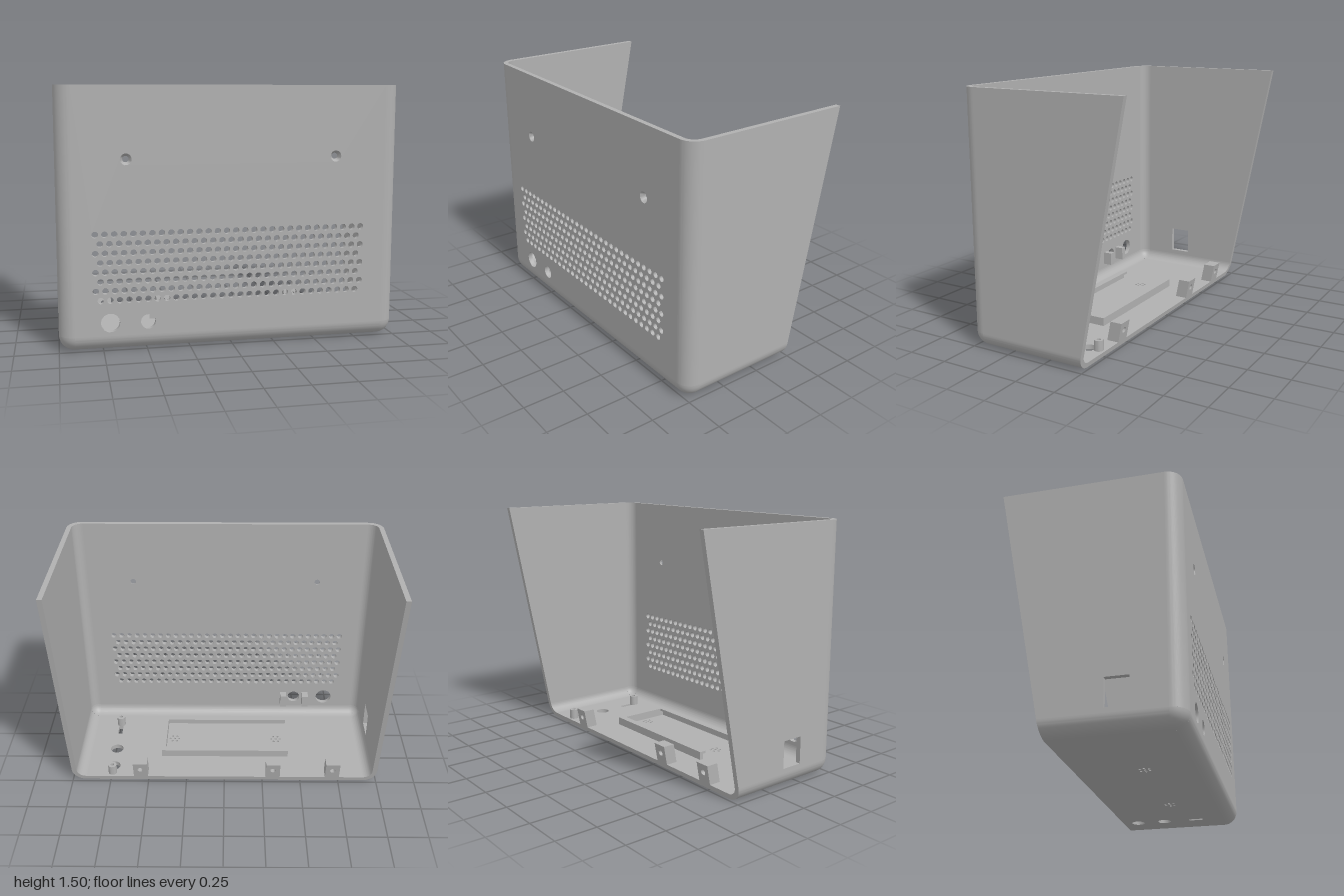
import * as THREE from 'three';
import { toCreasedNormals } from 'three/addons/utils/BufferGeometryUtils.js';

const H = 1.505, T = 0.03, R = 0.09, FRONT = 0.52;
const EX = 1 - R, EZ = FRONT - R;            // centres of the rounded edges
const SLOPE = -0.193;
const backZ = (y) => -0.23 + SLOPE * y;      // sloping open back

const plastic = new THREE.MeshStandardMaterial({ color: 0xb0b0b0 });
plastic.name = 'grey plastic';

function polygon(points) {
  return new THREE.Shape(points.map(([x, y]) => new THREE.Vector2(x, y)));
}
const rect = (x0, y0, x1, y1) => polygon([[x0, y0], [x1, y0], [x1, y1], [x0, y1]]);

function circle(x, y, r) {
  return new THREE.Path().absarc(x, y, r, 0, Math.PI * 2, true);
}

function quarterRing(cx, cy, start) {
  const s = new THREE.Shape();
  s.absarc(cx, cy, R, start, start + Math.PI / 2, false);
  s.absarc(cx, cy, R - T, start + Math.PI / 2, start, true);
  return s;
}

function extrude(shape, depth, curveSegments = 10) {
  return new THREE.ExtrudeGeometry(shape, { depth, curveSegments, bevelEnabled: false });
}

// Move vertices by a rule on their position
function reshape(geo, rule) {
  const p = geo.attributes.position;
  const v = new THREE.Vector3();
  for (let i = 0; i < p.count; i++) {
    rule(v.fromBufferAttribute(p, i));
    p.setXYZ(i, v.x, v.y, v.z);
  }
  return geo;
}

export function createModel() {
  const model = new THREE.Group();
  model.name = 'enclosure';

  const add = (name, geo, x = 0, y = 0, z = 0) => {
    const mesh = new THREE.Mesh(toCreasedNormals(geo, 0.6), plastic);
    mesh.name = name;
    mesh.position.set(x, y, z);
    model.add(mesh);
    return mesh;
  };
  const box = (name, x0, x1, y0, y1, z0, z1) =>
    add(name, new THREE.BoxGeometry(x1 - x0, y1 - y0, z1 - z0),
      (x0 + x1) / 2, (y0 + y1) / 2, (z0 + z1) / 2);

  // Front panel with speaker grille, control holes and screw holes
  const front = rect(-EX, R, EX, H);
  for (let row = 0; row < 8; row++) {
    const odd = row % 2;
    for (let i = 0; i < 30 - odd; i++) {
      front.holes.push(circle(-0.789 + (i + odd / 2) * 0.05375, 0.676 - row * 0.0541, 0.0187));
    }
  }
  front.holes.push(circle(-0.71, 0.167, 0.055), circle(-0.495, 0.165, 0.043));
  for (const x of [-0.61, 0.61]) front.holes.push(circle(x, 1.095, 0.033));
  add('frontPanel', extrude(front, T, 7), 0, 0, FRONT - T);

  // Countersunk screw seats
  for (const x of [-0.61, 0.61]) {
    const profile = [[0.033, T], [0.018, 0.006], [0.018, 0], [0.033, 0]];
    const seat = new THREE.LatheGeometry(profile.map(([a, b]) => new THREE.Vector2(a, b)), 24);
    add('screwSeat', seat.rotateX(Math.PI / 2), x, 1.095, FRONT - T);
  }

  // Floor, drawn in x and -z, with its back edge on the slope
  const floor = rect(-EX, -EZ, EX, 0.23);
  floor.holes.push(circle(0.74, 0.13, 0.043), circle(0.74, -0.05, 0.043));
  floor.holes.push(rect(0.725, -0.31, 0.755, -0.22));
  for (const cx of [-0.355, 0.35]) {
    floor.holes.push(circle(cx, -0.165, 0.008));
    for (let i = 0; i < 6; i++) {
      const a = i * Math.PI / 3;
      floor.holes.push(circle(cx + 0.03 * Math.cos(a), -0.165 + 0.03 * Math.sin(a), 0.008));
    }
  }
  add('floor', reshape(extrude(floor, T).rotateX(-Math.PI / 2), (v) => {
    if (v.z < -0.2299) v.z = backZ(v.y);
  }));

  // Side walls, drawn in -z and y; one has a socket window
  for (const side of [-1, 1]) {
    const wall = polygon([[-EZ, R], [-backZ(R), R], [-backZ(H), H], [-EZ, H]]);
    if (side < 0) wall.holes.push(rect(-0.235, 0.12, -0.1, 0.285));
    add(side < 0 ? 'rightWall' : 'leftWall',
      extrude(wall, T).rotateY(Math.PI / 2), side < 0 ? -1 : 1 - T);
  }

  // Rounded edges and front corners
  for (const side of [-1, 1]) {
    const start = side > 0 ? -Math.PI / 2 : Math.PI;
    add('frontSideEdge',
      extrude(quarterRing(side * EX, -EZ, start), H - R).rotateX(-Math.PI / 2), 0, R, 0);
    add('bottomSideEdge', reshape(extrude(quarterRing(side * EX, R, start), 1), (v) => {
      v.z = v.z > 0.5 ? EZ : backZ(v.y);
    }));
    for (const [r, inside] of [[R, false], [R - T, true]]) {
      const arc = [];
      for (let i = 0; i <= 10; i++) {
        const t = (i / 10) * Math.PI / 2;
        arc.push(new THREE.Vector2(r * Math.sin(t), -r * Math.cos(t)));
      }
      if (inside) arc.reverse();
      add(inside ? 'innerCorner' : 'outerCorner',
        new THREE.LatheGeometry(arc, 10, side > 0 ? 0 : -Math.PI / 2, Math.PI / 2),
        side * EX, R, EZ);
    }
  }
  add('frontBottomEdge',
    extrude(quarterRing(-EZ, R, Math.PI), 2 * EX).rotateY(Math.PI / 2), -EX, 0, 0);

  // Screw tabs leaning with the back opening: small hole behind, wide pocket in front
  for (const x of [-0.71, -0.32, 0.55]) {
    for (const [name, r, z, depth] of [['screwTab', 0.018, 0, 0.045], ['nutPocket', 0.03, 0.045, 0.03]]) {
      const tab = rect(-0.046, 0.028, 0.046, 0.148);
      tab.holes.push(circle(0, 0.095, r));
      add(name, reshape(extrude(tab, depth), (v) => { v.z += z + backZ(v.y); }), x);
    }
  }

  // Board standoffs with blind screw holes
  for (const z of [-0.195, 0.33]) {
    const post = new THREE.Shape().absarc(0, 0, 0.028, 0, Math.PI * 2, false);
    post.holes.push(circle(0, 0, 0.012));
    add('standoff', extrude(post, 0.065).rotateX(-Math.PI / 2), 0.74, T - 0.001, z);
  }

  // Tray rails with inward lips, and the end stop
  box('backRail', -0.43, 0.4, T, 0.08, -0.027, -0.005);
  box('backRailLip', -0.43, 0.4, 0.065, 0.08, -0.005, 0.016);
  box('frontRail', -0.43, 0.4, T, 0.08, 0.341, 0.363);
  box('frontRailLip', -0.43, 0.4, 0.065, 0.08, 0.317, 0.341);
  box('railStop', 0.4, 0.425, T, 0.08, -0.027, 0.363);

  // Ribs beside the small control hole
  for (const x of [-0.574, -0.418]) box('controlRib', x - 0.021, x + 0.021, 0.12, 0.205, 0.43, 0.491);

  return model;
}
